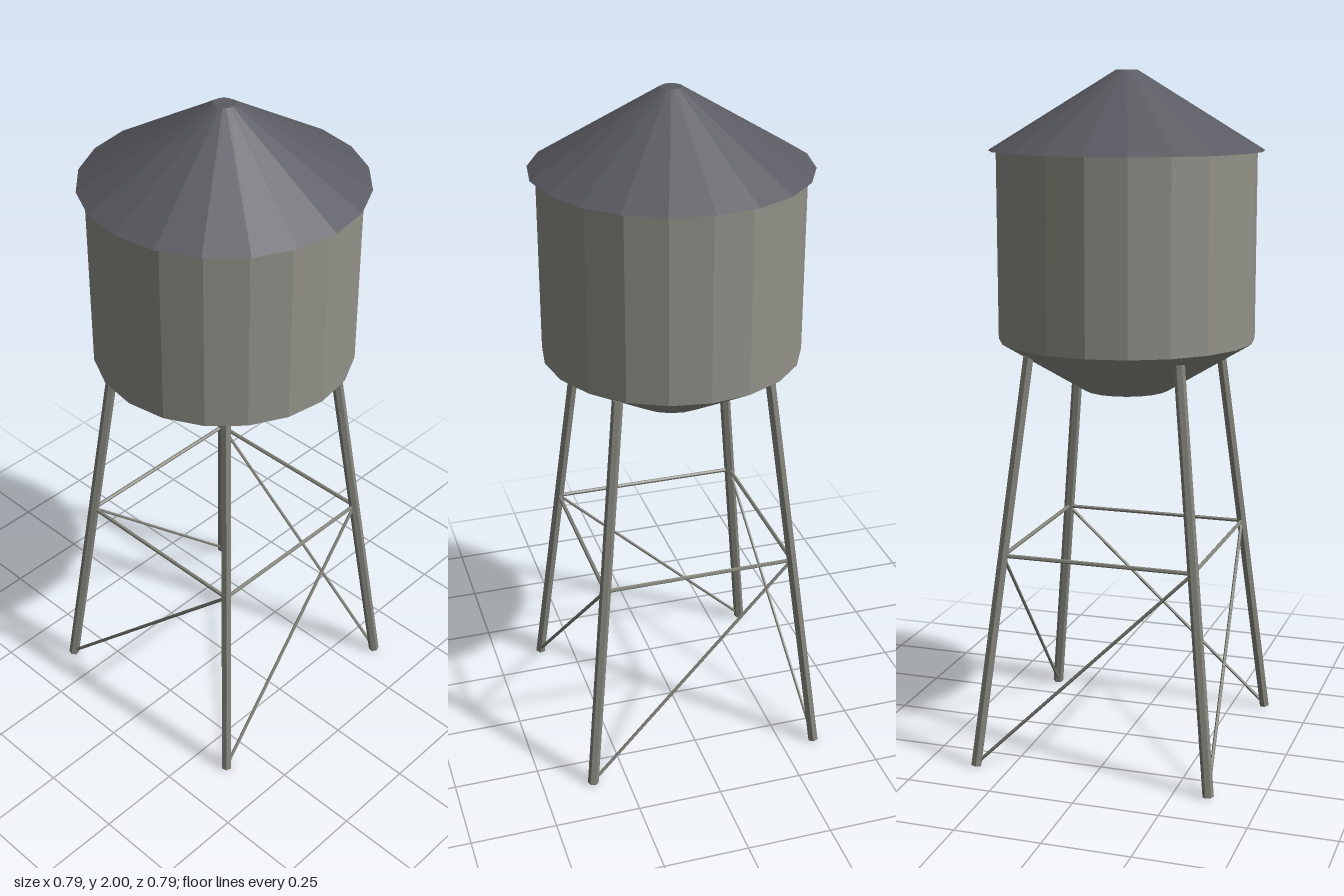
import * as THREE from 'three';

const SIDES = 20;

export function createModel() {
  const tower = new THREE.Group();
  tower.name = 'waterTower';

  const paint = (name, color) => {
    const m = new THREE.MeshStandardMaterial({ color, flatShading: true });
    m.name = name;
    return m;
  };
  const tankGrey = paint('tankGrey', 0x92928a);
  const roofSlate = paint('roofSlate', 0x5a5a62);
  const steel = paint('steel', 0x85857d);

  // Stacked drum section between two heights
  const drum = (name, rTop, rBottom, y0, y1, material) => {
    const mesh = new THREE.Mesh(new THREE.CylinderGeometry(rTop, rBottom, y1 - y0, SIDES), material);
    mesh.position.y = (y0 + y1) / 2;
    mesh.name = name;
    tower.add(mesh);
  };
  drum('roof', 0.03, 0.395, 1.776, 2.0, roofSlate);
  drum('tank', 0.373, 0.373, 1.235, 1.78, tankGrey);
  drum('funnel', 0.373, 0.125, 1.085, 1.235, tankGrey);

  // Straight bar from a to b
  const up = new THREE.Vector3(0, 1, 0);
  const bar = (name, a, b, radius, sides) => {
    const dir = b.clone().sub(a);
    const mesh = new THREE.Mesh(new THREE.CylinderGeometry(radius, radius, dir.length(), sides), steel);
    mesh.position.copy(a).add(b).multiplyScalar(0.5);
    mesh.quaternion.setFromUnitVectors(up, dir.normalize());
    mesh.name = name;
    return mesh;
  };

  // Distance of a leg's centre line from the tower axis at height y
  const spread = (y) => 0.498 - 0.153 * y;
  const ringY = 0.63;

  // One leg, ring bar and diagonal brace per corner, turned around the axis
  for (let i = 0; i < 4; i++) {
    const corner = new THREE.Group();
    corner.name = 'legFrame' + (i + 1);
    corner.rotation.y = Math.PI / 4 + (i * Math.PI) / 2;
    const at = (y) => new THREE.Vector3(0, y, spread(y));
    const next = new THREE.Vector3(spread(ringY), ringY, 0);
    corner.add(
      bar('leg', at(0.003), at(1.205), 0.016, 6),
      bar('ringBar', at(ringY), next, 0.006, 6),
      bar('diagonalBrace', at(0.008), next, 0.005, 6)
    );
    tower.add(corner);
  }
  return tower;
}
